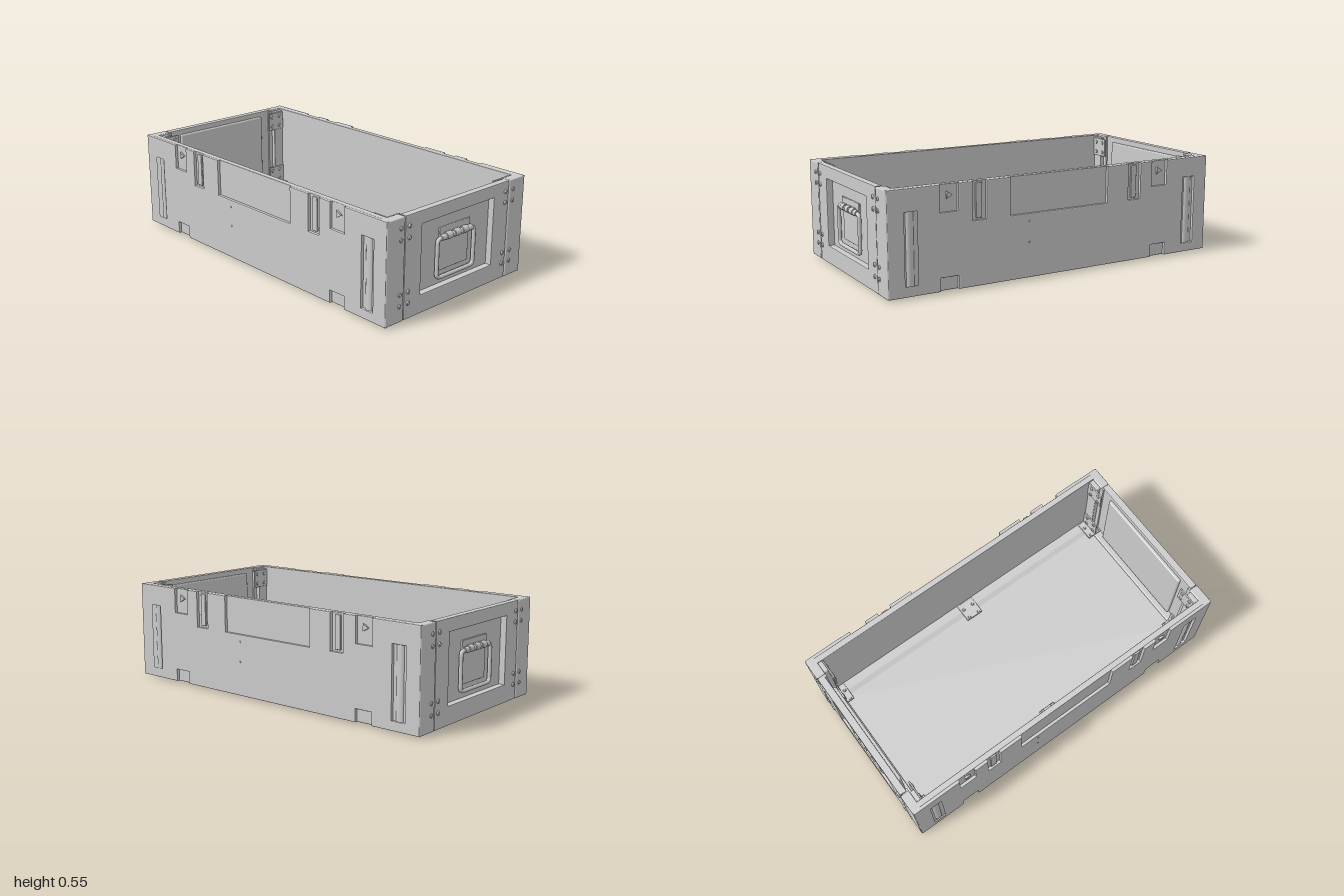
import * as THREE from 'three';
import { RoundedBoxGeometry } from 'three/addons/geometries/RoundedBoxGeometry.js';

const mat = new THREE.MeshStandardMaterial({ color: 0xcccccc });

function add(parent, name, geo, x = 0, y = 0, z = 0) {
  const m = new THREE.Mesh(geo, mat);
  m.name = name;
  m.position.set(x, y, z);
  parent.add(m);
  return m;
}

// Box given by its minimum and maximum corners, optionally rounded
function box(parent, name, [x0, x1], [y0, y1], [z0, z1], r = 0) {
  const s = [x1 - x0, y1 - y0, z1 - z0];
  const geo = r ? new RoundedBoxGeometry(...s, 2, r) : new THREE.BoxGeometry(...s);
  return add(parent, name, geo, (x0 + x1) / 2, (y0 + y1) / 2, (z0 + z1) / 2);
}

function rect(x0, x1, y0, y1, Type = THREE.Path) {
  return new Type([[x0, y0], [x1, y0], [x1, y1], [x0, y1]].map(p => new THREE.Vector2(...p)));
}

function plate(shape, depth, bevel) {
  return new THREE.ExtrudeGeometry(shape, {
    depth: depth - 2 * bevel, bevelEnabled: bevel > 0, bevelSize: bevel, bevelOffset: -bevel,
    bevelThickness: bevel, bevelSegments: 2,
  }).translate(0, 0, bevel);
}

// Six-sided rivet heads, axis along z or y
const rivetZ = new THREE.CylinderGeometry(0.009, 0.014, 0.008, 6).rotateX(Math.PI / 2);
const rivetY = new THREE.CylinderGeometry(0.007, 0.011, 0.008, 6);

// Folding carry handle with a three-knuckle hinge, set in the end recess
function createHandle() {
  const g = new THREE.Group();
  g.name = 'handle';
  const w = 0.138, top = 0.36, bottom = 0.152, r = 0.025;
  const path = new THREE.CurvePath();
  const v = (x, y) => new THREE.Vector3(x, y, 0.969);
  const line = (a, b) => path.add(new THREE.LineCurve3(a, b));
  const bend = (a, b, c) => path.add(new THREE.QuadraticBezierCurve3(a, b, c));
  for (const s of [1, -1]) {
    line(v(-s * (w - r), s > 0 ? bottom : top), v(s * (w - r), s > 0 ? bottom : top));
    const y0 = s > 0 ? bottom : top, y1 = s > 0 ? top : bottom;
    bend(v(s * (w - r), y0), v(s * w, y0), v(s * w, y0 + s * r));
    line(v(s * w, y0 + s * r), v(s * w, y1 - s * r));
    bend(v(s * w, y1 - s * r), v(s * w, y1), v(s * (w - r), y1));
  }
  add(g, 'handleLoop', new THREE.TubeGeometry(path, 96, 0.011, 8, true));
  box(g, 'handleHingePlate', [-0.115, 0.115], [0.35, 0.41], [0.95, 0.961], 0.004);
  box(g, 'handleBackPlate', [-0.11, 0.11], [0.18, 0.34], [0.95, 0.956], 0.002);
  const barrel = new THREE.CylinderGeometry(0.016, 0.016, 0.23, 12).rotateZ(Math.PI / 2);
  add(g, 'handleHingeBarrel', barrel, 0, 0.36, 0.968);
  for (const x of [-0.06, 0, 0.06]) {
    const knuckle = new THREE.CylinderGeometry(0.02, 0.02, 0.04, 12).rotateZ(Math.PI / 2);
    add(g, 'handleKnuckle', knuckle, x, 0.362, 0.968);
  }
  return g;
}

// One end wall at +z with recessed panel, corner caps and rivets
function createEnd() {
  const g = new THREE.Group();
  g.name = 'endWall';
  const face = rect(-0.387, 0.387, 0.01, 0.55, THREE.Shape);
  face.holes.push(rect(-0.27, 0.27, 0.11, 0.48));
  add(g, 'endFrame', plate(face, 0.04, 0.005), 0, 0, 0.945);
  box(g, 'endRecessPanel', [-0.31, 0.31], [0.07, 0.52], [0.927, 0.95], 0.008);
  g.add(createHandle());
  for (const s of [-1, 1]) {
    const span = (a, b) => (s > 0 ? [a, b] : [-b, -a]);
    box(g, 'cornerCap', span(0.391, 0.513), [0.01, 0.55], [0.935, 0.987], 0.006);
    box(g, 'cornerSeam', span(0.375, 0.405), [0.015, 0.545], [0.935, 0.972]);
    for (const x of [0.36, 0.42]) {
      for (const y of [0.095, 0.155, 0.435, 0.495]) add(g, 'endRivet', rivetZ, s * x, y, 0.988);
    }

    // Inner corner post with riveted brackets
    box(g, 'cornerPost', span(0.4, 0.47), [0.04, 0.54], [0.91, 0.94], 0.005);
    for (const y of [0.12, 0.48]) {
      box(g, 'cornerBracket', span(0.35, 0.465), [y - 0.055, y + 0.055], [0.902, 0.912], 0.003);
      for (const dx of [-0.03, 0.03]) for (const dy of [-0.03, 0.03]) {
        const rivet = add(g, 'bracketRivet', rivetZ, s * (0.405 + dx), y + dy, 0.901);
        rivet.rotation.y = Math.PI;
      }
    }
  }
  box(g, 'endFloorRail', [-0.47, 0.47], [0.01, 0.065], [0.9, 0.95], 0.006);
  return g;
}

// One long wall at +x: smooth inner board and notched outer cladding
function createSide() {
  const g = new THREE.Group();
  g.name = 'sideWall';
  box(g, 'sideBoard', [0.465, 0.498], [0.01, 0.55], [-0.96, 0.96], 0.004);

  // Half outline along the length, mirrored about the middle
  const half = [[0.3, 0.35], [0.3, 0.55], [0.44, 0.55], [0.44, 0.35], [0.52, 0.35], [0.52, 0.55],
    [0.6, 0.55], [0.6, 0.41], [0.7, 0.41], [0.7, 0.55], [0.985, 0.55], [0.985, 0.01],
    [0.7, 0.01], [0.7, 0.08], [0.6, 0.08], [0.6, 0.01]];
  const outline = [...half, ...half.map(([z, y]) => [-z, y]).reverse()];
  const shape = new THREE.Shape(outline.map(p => new THREE.Vector2(...p)));
  for (const s of [-1, 1]) shape.holes.push(rect(s * 0.82, s * 0.9, 0.06, 0.44));
  const cladding = plate(shape, 0.02, 0.005).rotateY(Math.PI / 2);
  add(g, 'sideCladding', cladding, 0.495, 0, 0);

  for (const s of [-1, 1]) {
    // Rounded rib in each corner slot and wedge-shaped catch in each upper notch
    const rib = new THREE.CylinderGeometry(0.022, 0.022, 0.38, 12);
    const m = add(g, 'cornerRib', rib, 0.496, 0.25, s * 0.86);
    m.scale.x = 0.6;
    const wedge = new THREE.CylinderGeometry(0.022, 0.022, 0.012, 3).rotateZ(Math.PI / 2).rotateX(Math.PI);
    add(g, 'catchWedge', wedge, 0.503, 0.495, s * 0.65);
    box(g, 'latchBar', [0.495, 0.507], [0.36, 0.54], [s * 0.48 - 0.018, s * 0.48 + 0.018], 0.004);
  }

  // Floor rail with a sloped inner edge
  const profile = new THREE.Shape([[0.385, 0.01], [0.47, 0.01], [0.47, 0.065], [0.415, 0.065],
    [0.385, 0.048]].map(p => new THREE.Vector2(...p)));
  const rail = new THREE.ExtrudeGeometry(profile, { depth: 1.88, bevelEnabled: false });
  add(g, 'floorRail', rail, 0, 0, -0.94);

  // Floor brackets, riveted above and below
  for (const z of [-0.91, 0, 0.91]) {
    box(g, 'floorBracket', [0.35, 0.46], [0.062, 0.072], [z - 0.052, z + 0.052], 0.003);
    box(g, 'undersideBracket', [0.345, 0.45], [0.006, 0.014], [z - 0.052, z + 0.052], 0.002);
    for (const x of [0.36, 0.42]) for (const dz of [-0.032, 0.032]) {
      add(g, 'floorRivet', rivetY, x, 0.075, z + dz);
      add(g, 'undersideRivet', rivetY, x, 0.004, z + dz).rotation.x = Math.PI;
    }
  }
  for (const y of [0.2, 0.31]) {
    const stud = add(g, 'sideRivet', rivetZ, 0.515, y, 0.19);
    stud.rotation.y = Math.PI / 2;
    stud.scale.set(0.5, 0.5, 0.5);
  }
  return g;
}

export function createModel() {
  const model = new THREE.Group();
  model.name = 'openCrate';
  for (const turn of [0, Math.PI]) {
    for (const part of [createEnd(), createSide()]) {
      part.rotation.y = turn;
      model.add(part);
    }
  }

  // Floor board with cross slats underneath
  box(model, 'floor', [-0.4, 0.4], [0.036, 0.05], [-0.93, 0.93]);
  for (const z of [-0.7, -0.35, 0, 0.35, 0.7]) {
    box(model, 'floorSlat', [-0.39, 0.39], [0.024, 0.038], [z - 0.04, z + 0.04], 0.004);
  }
  return model;
}
